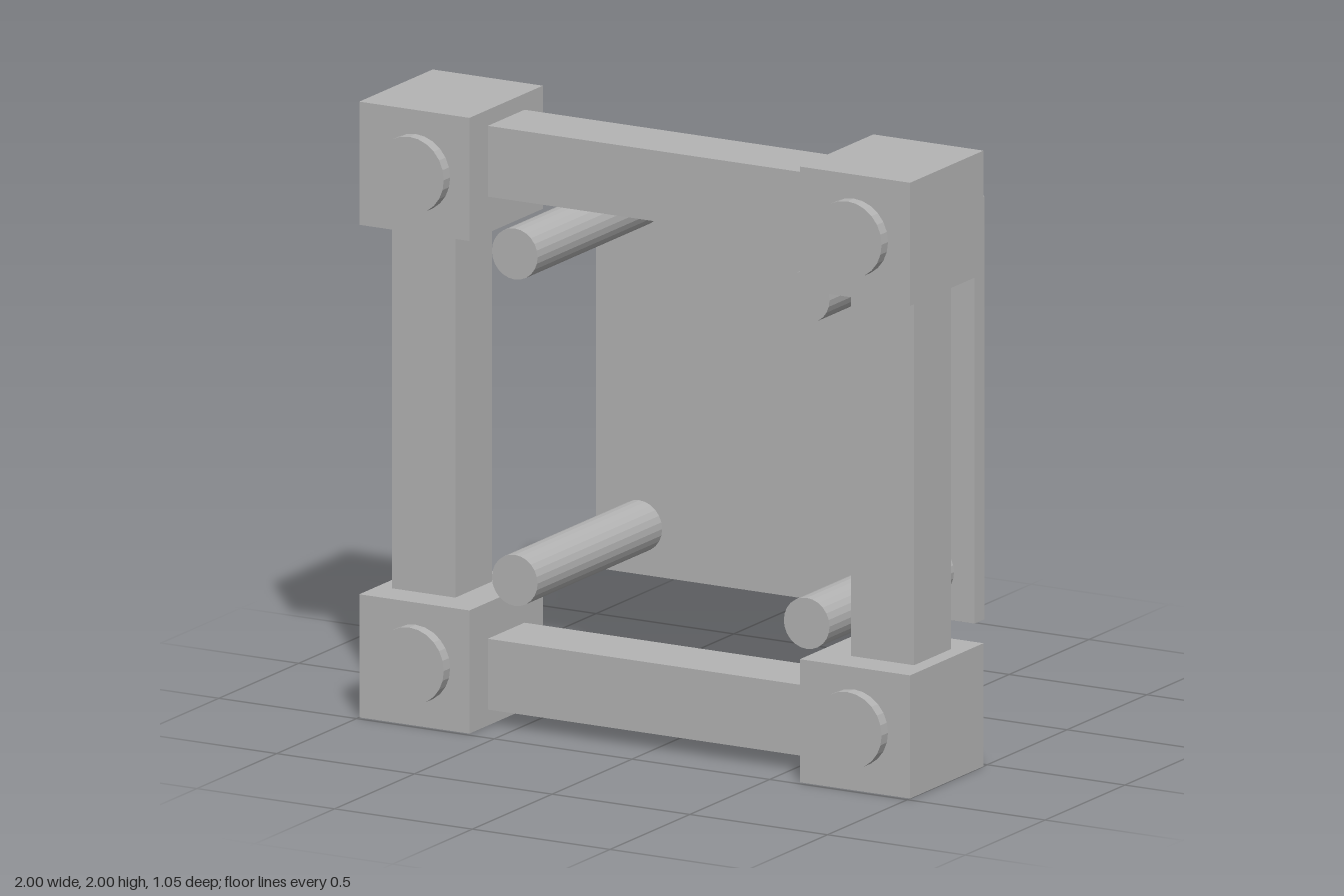
import * as THREE from 'three';

export function createModel() {
  const model = new THREE.Group();
  model.name = 'standoffFrame';
  const grey = new THREE.MeshStandardMaterial({ color: 0xb4b4b4, flatShading: true });
  grey.name = 'plain grey';

  function add(name, geometry, x, y, z) {
    const mesh = new THREE.Mesh(geometry, grey);
    mesh.name = name;
    mesh.position.set(x, y, z);
    model.add(mesh);
  }
  // Cylinder lying along z
  const rod = (radius, length) =>
    new THREE.CylinderGeometry(radius, radius, length, 24).rotateX(Math.PI / 2);

  const blockGeometry = new THREE.BoxGeometry(0.4, 0.4, 0.46);
  const capGeometry = rod(0.125, 0.04);
  const rodGeometry = rod(0.083, 0.78);
  const railGeometry = new THREE.BoxGeometry(1.2, 0.23, 0.23);
  const postGeometry = new THREE.BoxGeometry(0.23, 1.2, 0.23);

  for (const s of [-1, 1]) {
    const side = s > 0 ? 'left' : 'right';
    const level = s > 0 ? 'top' : 'bottom';

    // Beams joining the corner blocks
    add(level + 'Rail', railGeometry, 0, 1 + s * 0.833, 0.253);
    add(side + 'Post', postGeometry, s * 0.833, 1, 0.253);

    // Corner blocks with round caps, and the rods carrying the back panel
    for (const t of [-1, 1]) {
      const corner = side + (t > 0 ? 'Top' : 'Bottom');
      add(corner + 'Block', blockGeometry, s * 0.8, 1 + t * 0.8, 0.253);
      add(corner + 'Cap', capGeometry, s * 0.795, 1 + t * 0.797, 0.503);
      add(corner + 'Rod', rodGeometry, s * 0.53, 1 + t * 0.53, -0.07);
    }
  }

  // Square panel behind the frame
  add('backPanel', new THREE.BoxGeometry(1.375, 1.375, 0.063), 0, 1, -0.492);

  return model;
}
